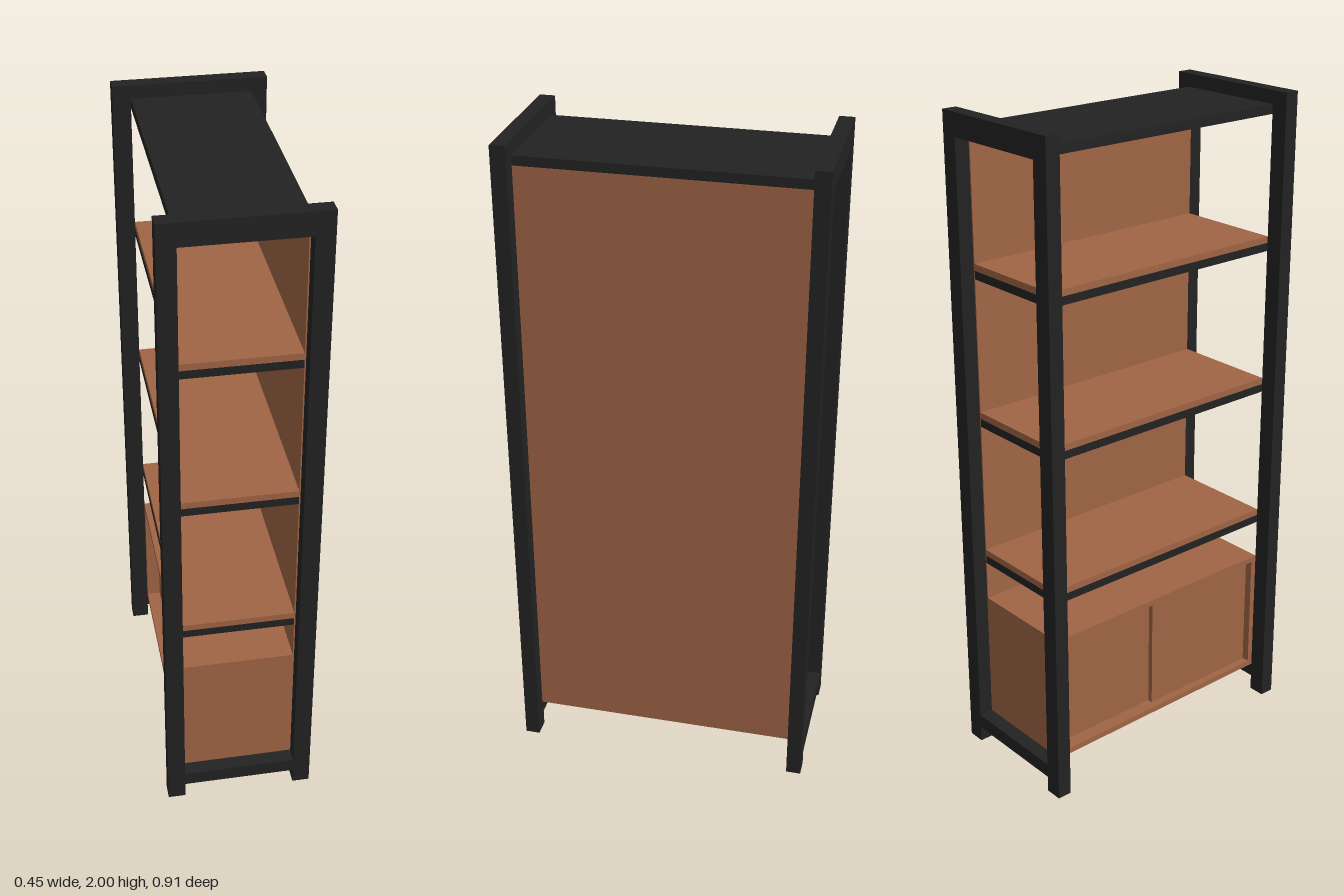
import * as THREE from 'three';

export function createModel() {
  const model = new THREE.Group();
  const black = new THREE.MeshStandardMaterial({ color: 0x222222 });
  const wood = new THREE.MeshStandardMaterial({ color: 0xa06545 });

  // Box given by its lower and upper limits on each axis
  function box(name, material, [x0, x1], [y0, y1], [z0, z1], parent = model) {
    const mesh = new THREE.Mesh(new THREE.BoxGeometry(x1 - x0, y1 - y0, z1 - z0), material);
    mesh.position.set((x0 + x1) / 2, (y0 + y1) / 2, (z0 + z1) / 2);
    mesh.name = name;
    parent.add(mesh);
  }

  const W = 0.225, IN = 0.172, D = 0.455, ZI = 0.41;
  const span = [-ZI, ZI];

  // End frames: two posts, a top rail and a raised bottom rail
  for (const s of [1, -1]) {
    const frame = new THREE.Group();
    frame.name = s > 0 ? 'frontFrame' : 'backFrame';
    const z = s > 0 ? [ZI, D] : [-D, -ZI];
    box('leftPost', black, [IN, W], [0, 2], z, frame);
    box('rightPost', black, [-W, -IN], [0, 2], z, frame);
    box('topRail', black, [-IN, IN], [1.932, 2], z, frame);
    box('bottomRail', black, [-IN, IN], [0.05, 0.095], z, frame);
    model.add(frame);
  }

  // Top board and the closed long side
  box('topBoard', black, [-IN, 0.18], [1.932, 1.96], span);
  box('sidePanel', wood, [0.168, 0.18], [0.095, 1.932], span);

  // Shelves: wooden board on a dark support
  for (const y of [0.625, 1.075, 1.525]) {
    const shelf = new THREE.Group();
    shelf.name = 'shelf';
    box('shelfSupport', black, [-IN, 0.168], [y, y + 0.025], span, shelf);
    box('shelfBoard', wood, [-IN, 0.168], [y + 0.025, y + 0.045], span, shelf);
    model.add(shelf);
  }

  // Cabinet with two sliding doors on the open long side
  const cabinet = new THREE.Group();
  cabinet.name = 'cabinet';
  const T = 0.018, y0 = 0.095, y1 = 0.503;
  box('cabinetTop', wood, [-IN, 0.168], [y1 - T, y1], span, cabinet);
  box('cabinetBottom', wood, [-IN, 0.168], [y0, y0 + T], span, cabinet);
  for (const s of [1, -1]) {
    const z = s > 0 ? [ZI - T, ZI] : [-ZI, -ZI + T];
    box('cabinetEnd', wood, [-IN, 0.168], [y0 + T, y1 - T], z, cabinet);
  }
  box('outerDoor', wood, [-0.148, -0.132], [y0 + T, y1 - T], [-0.015, ZI - T], cabinet);
  box('innerDoor', wood, [-0.13, -0.114], [y0 + T, y1 - T], [-ZI + T, 0.015], cabinet);
  model.add(cabinet);

  return model;
}
